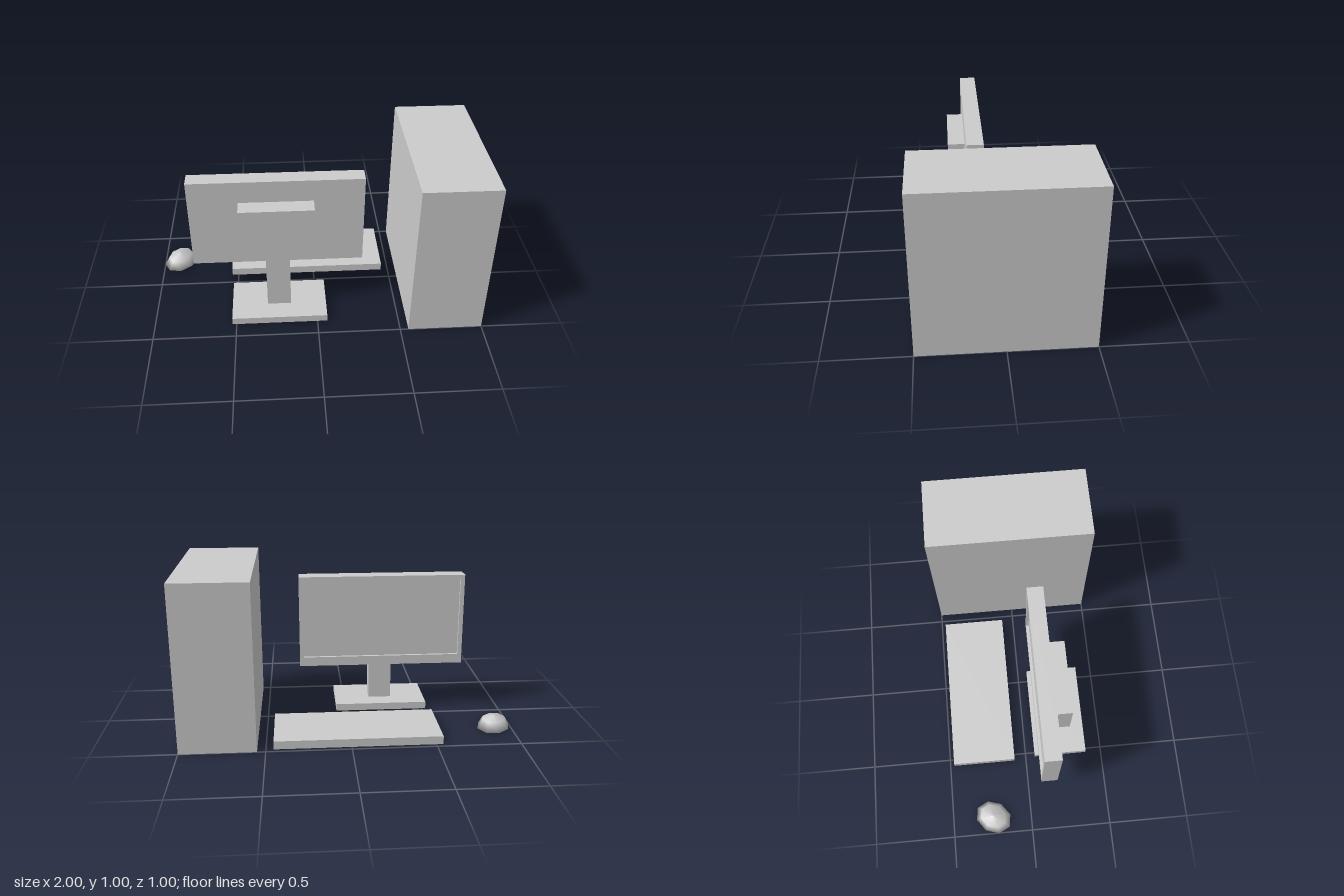
import * as THREE from 'three';

const grey = new THREE.MeshStandardMaterial({ color: 0xcccccc });

function add(parent, name, geometry) {
  const mesh = new THREE.Mesh(geometry, grey);
  mesh.name = name;
  parent.add(mesh);
  return mesh;
}

// Box given by its extents along each axis
function block(parent, name, [x0, x1], [y0, y1], [z0, z1]) {
  const mesh = add(parent, name, new THREE.BoxGeometry(x1 - x0, y1 - y0, z1 - z0));
  mesh.position.set((x0 + x1) / 2, (y0 + y1) / 2, (z0 + z1) / 2);
  return mesh;
}

const outline = (pairs) => pairs.map(([x, y]) => new THREE.Vector2(x, y));
const rect = (x0, x1, y0, y1) => outline([[x0, y0], [x1, y0], [x1, y1], [x0, y1]]);

// Straight extrusion starting at a given z
function slab(parent, name, shape, z, depth) {
  const mesh = add(parent, name, new THREE.ExtrudeGeometry(shape, { depth, bevelEnabled: false }));
  mesh.position.z = z;
  return mesh;
}

export function createModel() {
  const model = new THREE.Group();
  model.name = 'desktopComputer';

  block(model, 'tower', [0.55, 1], [0, 1], [-0.5, 0.5]);
  block(model, 'keyboard', [-0.54, 0.455], [0, 0.05], [-0.473, -0.075]);

  const monitor = new THREE.Group();
  monitor.name = 'monitor';
  model.add(monitor);

  // Screen housing, with a bezel framing the recessed panel at -z
  const [x0, x1, y0, y1] = [-0.75, 0.29, 0.31, 0.89];
  block(monitor, 'screenHousing', [x0, x1], [y0, y1], [0.09, 0.172]);
  const bezel = new THREE.Shape(rect(x0, x1, y0, y1));
  bezel.holes.push(new THREE.Path(rect(x0 + 0.026, x1 - 0.026, y0 + 0.058, y1 - 0.026)));
  slab(monitor, 'bezel', bezel, 0.073, 0.017);

  // Mount and neck are one T-shaped slab behind the housing
  const neck = new THREE.Shape(outline([
    [-0.305, 0.04], [-0.16, 0.04], [-0.16, 0.45], [-0.01, 0.45],
    [-0.01, 0.75], [-0.455, 0.75], [-0.455, 0.45], [-0.305, 0.45],
  ]));
  slab(monitor, 'mountAndNeck', neck, 0.172, 0.1);
  block(monitor, 'standBase', [-0.525, 0.06], [0, 0.045], [0.06, 0.397]);

  // Mouse: smooth eight-sided dome with a closed underside, stretched and turned
  const dome = outline([[0, 0], [1, 0], [0.707, 0.053], [0, 0.075]]);
  const mouse = add(model, 'mouse', new THREE.LatheGeometry(dome, 8));
  mouse.scale.set(0.097, 1, 0.12);
  mouse.rotation.y = -0.61;
  mouse.position.set(-0.897, 0, -0.243);

  return model;
}
